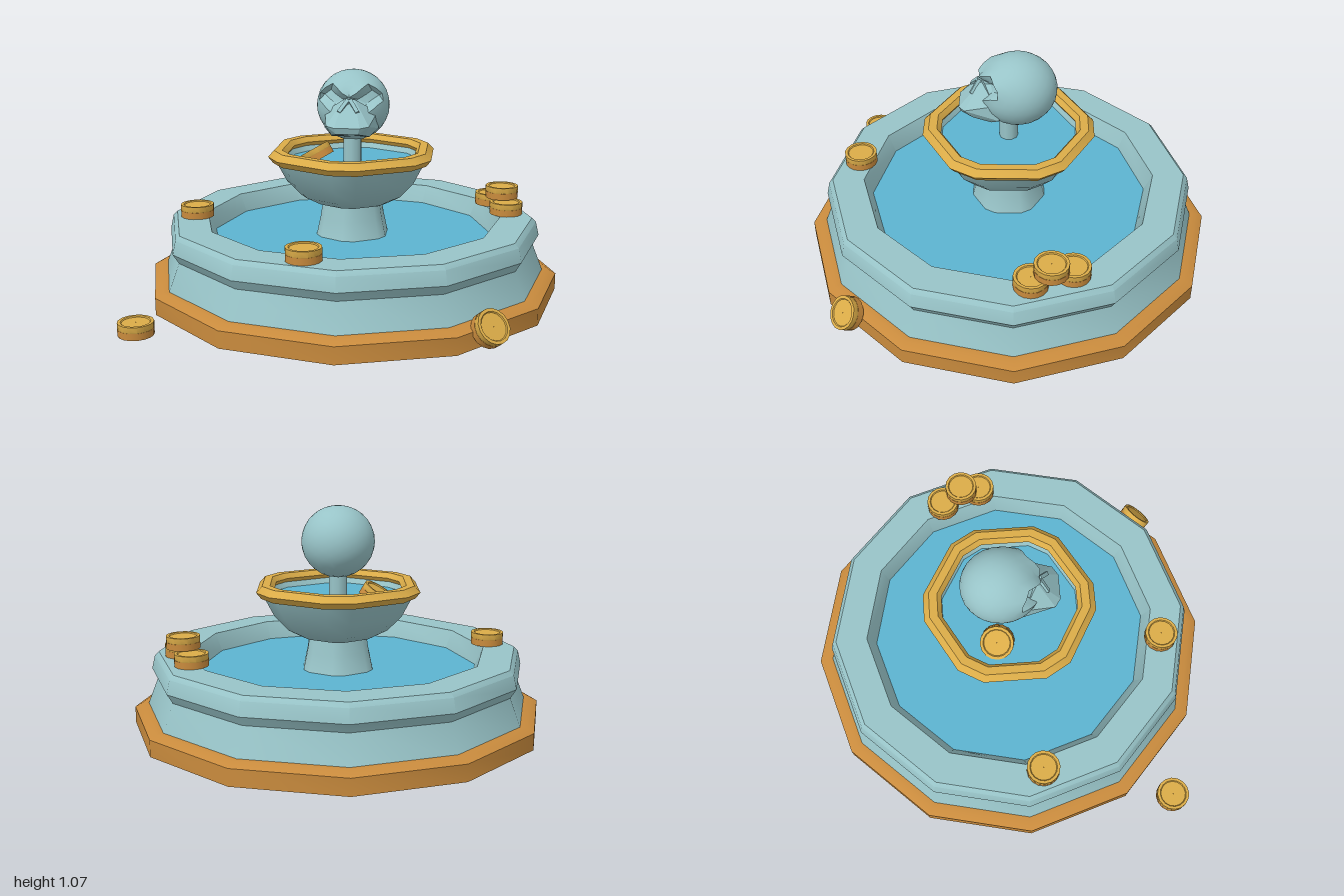
import * as THREE from 'three';
import { mergeVertices, toCreasedNormals } from 'three/addons/utils/BufferGeometryUtils.js';
import { ConvexGeometry } from 'three/addons/geometries/ConvexGeometry.js';

const mat = (name, color, side = THREE.FrontSide) => {
  const m = new THREE.MeshStandardMaterial({ color, side });
  m.name = name;
  return m;
};

export function createModel() {
  const stone = mat('pale teal stone', 0x98c4c8, THREE.DoubleSide);
  const water = mat('water blue', 0x5cb4d0, THREE.DoubleSide);
  const bronze = mat('bronze', 0xc98b3d);
  const gold = mat('gold', 0xdbac48);

  const model = new THREE.Group();
  model.name = 'skullFountain';

  const add = (name, geometry, material, parent = model) => {
    const mesh = new THREE.Mesh(geometry, material);
    mesh.name = name;
    parent.add(mesh);
    return mesh;
  };
  const vecs = (profile) => profile.map(([r, y]) => new THREE.Vector2(r, y));
  const lathe = (profile, start = 0) => new THREE.LatheGeometry(vecs(profile), 12, start);
  const crease = (geometry, angle = 0.56) => toCreasedNormals(geometry, angle);

  // Twelve-sided profile squeezed into a hexagon with cut corners
  const cutHexagon = (profile) => {
    const g = lathe(profile, Math.PI / 12);
    const p = g.attributes.position;
    const sixth = Math.PI / 3;
    for (let i = 0; i < p.count; i++) {
      const r = Math.hypot(p.getX(i), p.getZ(i));
      const a = Math.atan2(p.getX(i), p.getZ(i));
      const corner = Math.round(a / sixth) * sixth;
      const b = corner + (a - corner) * 0.62;
      p.setXYZ(i, r * Math.sin(b), p.getY(i), r * Math.cos(b));
    }
    return crease(g, 0.75);
  };

  // Lower pool
  const pool = new THREE.Group();
  pool.name = 'pool';
  pool.rotation.y = 0.04;
  model.add(pool);
  add('baseRing', crease(lathe([
    [0.93, 0], [1, 0], [1, 0.08], [0.965, 0.1], [0.92, 0.1], [0.93, 0],
  ])), bronze, pool);
  add('poolWall', crease(lathe([
    [0.935, 0.095], [0.882, 0.23], [0.91, 0.275], [0.895, 0.34], [0.875, 0.36],
    [0.72, 0.36], [0.68, 0.27], [0.68, 0.13], [0.01, 0.13],
  ])), stone, pool);
  add('poolWater', lathe([[0.685, 0.272], [0.005, 0.272]]), water, pool);

  // Pedestal and upper bowl
  add('pedestalFoot', cutHexagon([
    [0.265, 0.1], [0.28, 0.1], [0.28, 0.125], [0.265, 0.125], [0.265, 0.1],
  ]), bronze);
  add('pedestal', cutHexagon([
    [0.24, 0.13], [0.18, 0.27], [0.16, 0.36], [0.145, 0.45],
  ]), stone);
  add('bowl', cutHexagon([
    [0.01, 0.435], [0.18, 0.435], [0.255, 0.475], [0.325, 0.55], [0.375, 0.645],
    [0.34, 0.66], [0.31, 0.6],
  ]), stone);
  add('bowlRim', cutHexagon([
    [0.345, 0.645], [0.39, 0.64], [0.414, 0.67], [0.385, 0.7],
    [0.345, 0.7], [0.325, 0.675], [0.345, 0.645],
  ]), gold);
  add('bowlWater', cutHexagon([[0.325, 0.63], [0.005, 0.63]]), water);

  // Skull
  const skull = new THREE.Group();
  skull.name = 'skull';
  model.add(skull);
  const neck = add('neck', new THREE.CylinderGeometry(0.045, 0.045, 0.16, 10), stone, skull);
  neck.position.set(0, 0.69, 0);

  let head = new THREE.IcosahedronGeometry(1, 4);
  head.deleteAttribute('normal');
  head.deleteAttribute('uv');
  head = mergeVertices(head);
  const p = head.attributes.position;
  for (let i = 0; i < p.count; i++) {
    const x = p.getX(i) * 0.176;
    const y = 0.9 + p.getY(i) * 0.172;
    let z = -0.04 + p.getZ(i) * 0.188;
    if (z > 0) {
      // Slanted eye sockets with a raised brow above
      const dx = Math.abs(x) - 0.09;
      const dy = y - 0.95 - dx * 0.3;
      const d = Math.hypot(dx / 0.056, dy / 0.04);
      if (d < 1) z -= 0.055;
      else if (d < 1.8 && dy > 0) z += 0.018;
    }
    p.setXYZ(i, x, y, z);
  }
  add('cranium', crease(head, 0.6), stone, skull);

  const mirrored = (points) => points.flatMap(([x, y, z]) =>
    [new THREE.Vector3(x, y, z), new THREE.Vector3(-x, y, z)]);
  add('upperJaw', new ConvexGeometry(mirrored([
    [0.025, 0.95, 0.125], [0.125, 0.88, 0.06], [0.105, 0.86, 0.14], [0.13, 0.8, 0.04],
    [0.1, 0.835, 0.205], [0.06, 0.83, 0.232], [0.05, 0.8, 0.222],
    [0.08, 0.785, 0.165], [0.09, 0.765, 0.08],
  ])), stone, skull);
  // Raised sides of the nose opening
  for (const s of [-1, 1]) {
    const ridge = add(s > 0 ? 'leftNoseRidge' : 'rightNoseRidge',
      new THREE.BoxGeometry(0.018, 0.075, 0.03), stone, skull);
    ridge.position.set(s * 0.024, 0.918, 0.15);
    ridge.rotation.set(-0.6, 0, s * 0.55);
  }

  // Coins: position of the centre, then the direction of the upper face
  const coins = [
    [[0.68, 0.39, -0.3]], [[0.75, 0.39, -0.11]], [[0.73, 0.45, -0.2]],
    [[-0.75, 0.39, 0.11]], [[-0.12, 0.39, 0.75]], [[-0.86, 0.03, 0.77]],
    [[0.67, 0.085, 0.74], [0.5, 0.6, 0.6]],
    [[-0.185, 0.645, -0.07], [-0.5, 0.85, -0.1]],
  ];
  const lower = new THREE.CylinderGeometry(0.08, 0.08, 0.032, 16).translate(0, -0.014, 0);
  const upper = crease(new THREE.LatheGeometry(vecs([
    [0.078, 0], [0.08, 0.004], [0.08, 0.03], [0.066, 0.03], [0.062, 0.025], [0.001, 0.025],
  ]), 16));
  coins.forEach(([at, up = [0, 1, 0]], i) => {
    const coin = new THREE.Group();
    coin.name = 'coin' + (i + 1);
    coin.position.set(...at);
    coin.quaternion.setFromUnitVectors(
      new THREE.Vector3(0, 1, 0), new THREE.Vector3(...up).normalize());
    add('coinLowerHalf', lower, bronze, coin);
    add('coinUpperHalf', upper, gold, coin);
    model.add(coin);
  });

  return model;
}
